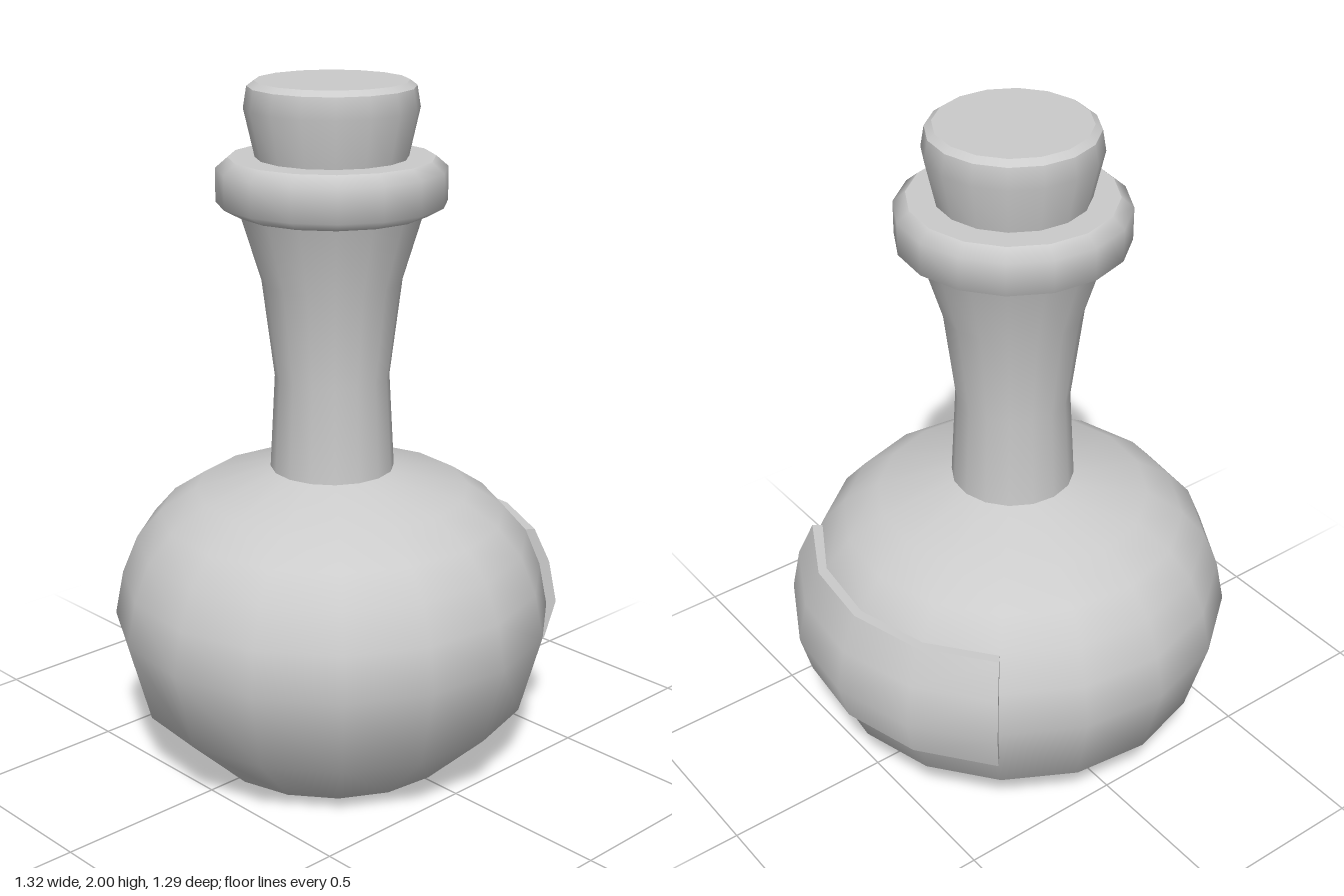
import * as THREE from 'three';
import { toCreasedNormals } from 'three/addons/utils/BufferGeometryUtils.js';

const SIDES = 16, PHASE = 0.078, CENTRE_X = -0.02;
const material = new THREE.MeshStandardMaterial({ color: 0xcccccc });

// Outer belly profile as [radius, height]
const belly = [[0.38, 0], [0.58, 0.19], [0.645, 0.43], [0.62, 0.56], [0.575, 0.67],
  [0.505, 0.75], [0.4, 0.82], [0.18, 0.885]];

// Each strip is smooth inside and sharp where it meets the next
function turned(name, strips) {
  const group = new THREE.Group();
  group.name = name;
  strips.forEach((strip, i) => {
    const points = strip.map(([r, y]) => new THREE.Vector2(r, y));
    const mesh = new THREE.Mesh(new THREE.LatheGeometry(points, SIDES, PHASE), material);
    mesh.name = `${name}Surface${i + 1}`;
    group.add(mesh);
  });
  return group;
}

// A segmented box wrapped around the belly
function createLabel() {
  const rows = [[0.31, 0.645], [0.43, 0.677], [0.56, 0.652], [0.665, 0.605]];
  const angles = [0.89, 1.28, 1.655, 2.035, 2.43];
  const geometry = new THREE.BoxGeometry(4, 3, 1, 4, 3, 1);
  const pos = geometry.attributes.position;
  for (let i = 0; i < pos.count; i++) {
    const phi = angles[Math.round(pos.getX(i) + 2)];
    const [y, outer] = rows[Math.round(pos.getY(i) + 1.5)];
    const r = pos.getZ(i) > 0 ? outer : outer - 0.075;
    pos.setXYZ(i, r * Math.sin(phi), y, r * Math.cos(phi));
  }
  const mesh = new THREE.Mesh(toCreasedNormals(geometry, 0.7), material);
  mesh.name = 'label';
  return mesh;
}

export function createModel() {
  const model = new THREE.Group();
  model.name = 'bottle';
  const bottle = new THREE.Group();
  bottle.name = 'bottleParts';
  bottle.position.x = CENTRE_X;

  bottle.add(
    turned('belly', [[[0, 0], [0.38, 0]], belly]),
    // Neck flares into the lip
    turned('neck', [[[0.18, 0.885], [0.165, 1.16], [0.2, 1.44], [0.26, 1.635]]]),
    turned('lip', [
      [[0.255, 1.635], [0.275, 1.637], [0.325, 1.665], [0.325, 1.76], [0.29, 1.79]],
      [[0.29, 1.79], [0.19, 1.79]],
    ]),
    turned('stopper', [
      [[0.21, 1.77], [0.245, 1.925], [0.235, 1.985]],
      [[0.235, 1.985], [0.215, 2]],
      [[0.215, 2], [0, 2]],
    ]),
    createLabel(),
  );
  model.add(bottle);
  return model;
}
